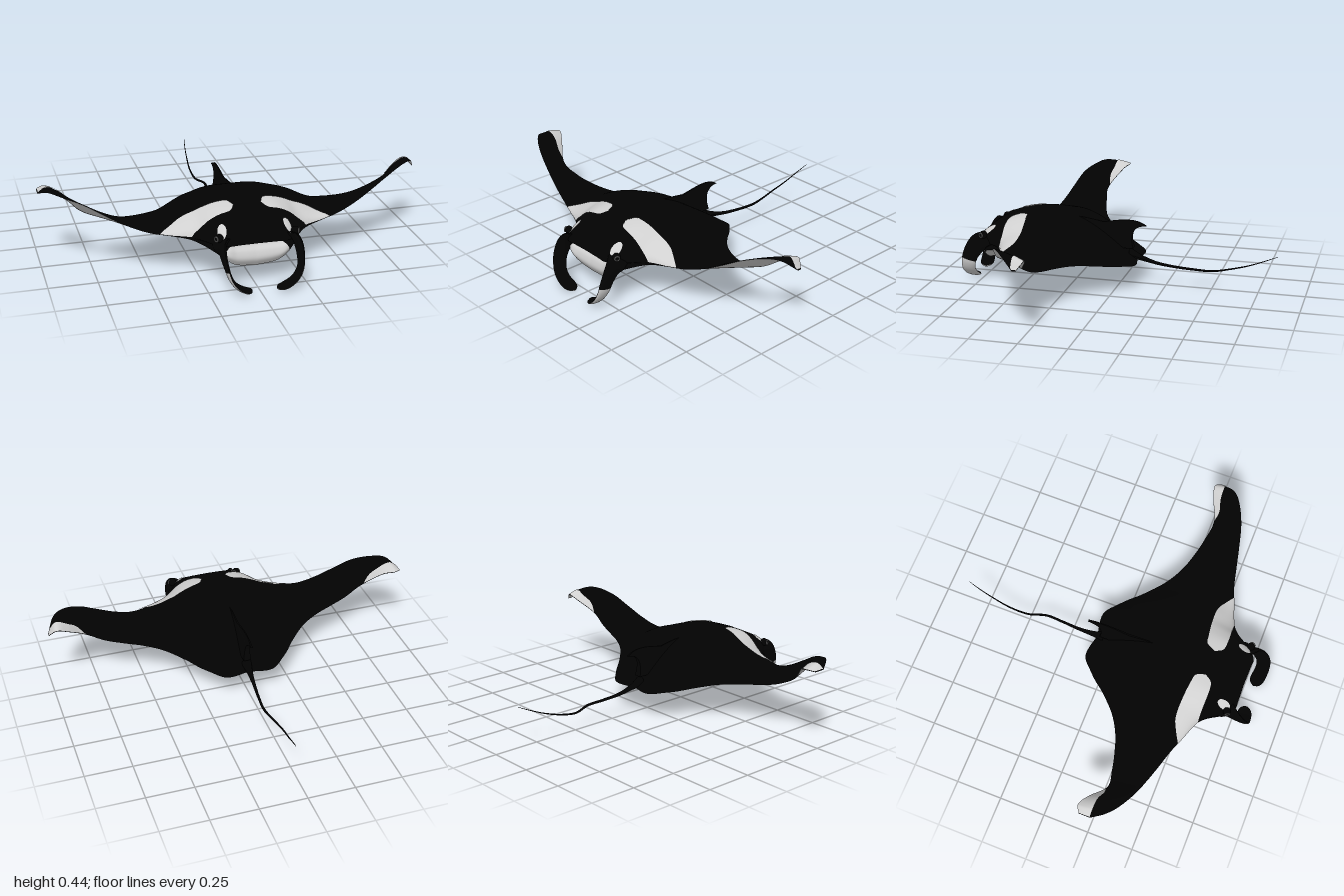
import * as THREE from 'three';

const black = new THREE.MeshStandardMaterial({ color: 0x020202, side: THREE.DoubleSide });
black.name = 'black skin';
const white = new THREE.MeshStandardMaterial({ color: 0xd0d0d0, side: THREE.DoubleSide });
white.name = 'white skin';
const grey = new THREE.MeshStandardMaterial({ color: 0x777777 });
grey.name = 'eye grey';
const { lerp, clamp } = THREE.MathUtils;

// Smooth table lookup (cubic Hermite)
function interp(xs, ys, x) {
  const n = xs.length;
  let i = 0;
  while (i < n - 2 && x > xs[i + 1]) i++;
  const slope = (k) => {
    const a = Math.max(k - 1, 0), b = Math.min(k + 1, n - 1);
    return (ys[b] - ys[a]) / (xs[b] - xs[a]);
  };
  const h = xs[i + 1] - xs[i];
  const t = clamp((x - xs[i]) / h, 0, 1), t2 = t * t, t3 = t2 * t;
  return (2 * t3 - 3 * t2 + 1) * ys[i] + (t3 - 2 * t2 + t) * h * slope(i)
    + (3 * t2 - 2 * t3) * ys[i + 1] + (t3 - t2) * h * slope(i + 1);
}

// Spanwise tables, from the middle to the wing tip
const span = [0, 0.1, 0.15, 0.2, 0.25, 0.3, 0.4, 0.5, 0.6, 0.7, 0.8, 0.9, 0.96, 1];
const zFront = [0.75, 0.752, 0.75, 0.705, 0.63, 0.588, 0.55, 0.515, 0.49, 0.465, 0.435, 0.385, 0.335, 0.27];
const zBack = [-0.09, -0.11, -0.1, -0.055, -0.005, 0.055, 0.15, 0.21, 0.245, 0.27, 0.285, 0.24, 0.225, 0.25];
const yFront = [0.24, 0.24, 0.238, 0.232, 0.23, 0.233, 0.238, 0.252, 0.29, 0.343, 0.398, 0.43, 0.42, 0.365];
const yBack = [0.14, 0.14, 0.145, 0.155, 0.165, 0.18, 0.205, 0.22, 0.235, 0.26, 0.31, 0.375, 0.4, 0.365];
const crown = [0.19, 0.183, 0.173, 0.158, 0.138, 0.113, 0.055, 0.025, 0.02, 0.02, 0.015, 0.012, 0.008, 0];
const belly = [-0.05, -0.04, -0.03, 0, 0.01, 0.01, 0.01, 0.012, 0.012, 0.01, 0.01, 0.008, 0.005, 0];
const frontGap = [0.135, 0.12, 0.085, 0.045, 0.025, 0.012, 0, 0, 0, 0, 0, 0, 0, 0];
// The wing tip on the -x side curls a little differently
const withTip = (table, tip) => [...table.slice(0, -tip.length), ...tip];
const zBackR = withTip(zBack, [0.22, 0.19, 0.21]);
const yFrontR = withTip(yFront, [0.43, 0.44, 0.415]);
const yBackR = withTip(yBack, [0.4, 0.42, 0.415]);

function section(x) {
  const a = Math.abs(x), r = x < 0;
  return {
    zf: interp(span, zFront, a), zb: interp(span, r ? zBackR : zBack, a),
    yf: interp(span, r ? yFrontR : yFront, a), yb: interp(span, r ? yBackR : yBack, a),
    top: interp(span, crown, a), low: interp(span, belly, a), gap: interp(span, frontGap, a),
  };
}
const arch = (u) => Math.pow(Math.max(Math.sin(Math.PI * u), 0), u < 0.5 ? 0.6 : 1.05);
function topY(x, z) {
  const c = section(x), u = clamp((c.zf - z) / (c.zf - c.zb), 0, 1);
  return lerp(c.yf, c.yb, u) + c.top * arch(u);
}

// Smooth sheet from a rule f(s, t) -> [x, y, z]
function sheet(name, material, ns, nt, f, flip = false) {
  const pos = [], index = [];
  for (let j = 0; j <= nt; j++) for (let i = 0; i <= ns; i++) pos.push(...f(i / ns, j / nt));
  for (let j = 0; j < nt; j++) for (let i = 0; i < ns; i++) {
    const a = j * (ns + 1) + i, b = a + 1, c = a + ns + 1, d = c + 1;
    index.push(...(flip ? [a, c, b, b, c, d] : [a, b, c, b, d, c]));
  }
  const g = new THREE.BufferGeometry();
  g.setAttribute('position', new THREE.Float32BufferAttribute(pos, 3));
  g.setIndex(index);
  g.computeVertexNormals();
  const mesh = new THREE.Mesh(g, material);
  mesh.name = name;
  return mesh;
}

const spanX = (s) => Math.sin((s - 0.5) * Math.PI);
const ease = (t) => (1 - Math.cos(Math.PI * t)) / 2;

function body() {
  const g = new THREE.Group();
  g.name = 'body';
  g.add(sheet('back', black, 220, 56, (s, t) => {
    const x = spanX(s), c = section(x), z = lerp(c.zf, c.zb, ease(t));
    return [x, topY(x, z), z];
  }));
  g.add(sheet('underside', white, 220, 40, (s, t) => {
    const x = spanX(s), c = section(x), u = ease(t);
    return [x, lerp(c.yf - c.gap, c.yb, u) - c.low * Math.sin(Math.PI * u), lerp(c.zf - 0.3 * c.gap, c.zb, u)];
  }, true));
  // Blunt front: white lower jaw leaning back under a black upper lip
  const setBack = (t) => interp([0, 0.3, 0.6, 0.9, 1], [0.3, 0.14, 0.2, 0.36, 0], t);
  const front = (x, t) => {
    const c = section(x);
    return [x, c.yf - c.gap * (1 - t), c.zf - setBack(t) * c.gap];
  };
  const half = 0.168;
  const lipLine = (x) => 0.95 * Math.sqrt(Math.max(0, 1 - Math.abs(x / half) ** 6));
  const mouthX = (s) => half * spanX(s);
  g.add(sheet('mouth', white, 60, 16, (s, t) => front(mouthX(s), t * lipLine(mouthX(s)))));
  g.add(sheet('upperLip', black, 60, 8, (s, t) => front(mouthX(s), lerp(lipLine(mouthX(s)), 1, t))));
  for (const k of [-1, 1])
    g.add(sheet('cheek', black, 30, 8, (s, t) => front(k * lerp(half, 0.4, s), t), k < 0));
  return g;
}

// Thin marking laid on the back, between two z rules
function marking(name, side, x0, x1, zA, zB) {
  return sheet(name, white, 48, 16, (s, t) => {
    const x = side * lerp(x0, x1, s), c = section(x);
    const z = clamp(lerp(zA(Math.abs(x), c), zB(Math.abs(x), c), t), c.zb, c.zf);
    return [x, topY(x, z) + 0.004, z + (z > 0.45 ? 0.002 : 0)];
  }, side < 0);
}

const patchX = [0.07, 0.09, 0.13, 0.25, 0.33, 0.38, 0.44];
const patchBack = [0.545, 0.5, 0.488, 0.475, 0.478, 0.5, 0.535];
const patchFront = [0.545, 0.58, 0.592, 0.59, 0.59, 0.57, 0.54];
const spotHalf = (x) => 0.036 * Math.sqrt(Math.max(0, 1 - ((x - 0.167) / 0.021) ** 2));

function markings(side) {
  const g = new THREE.Group();
  g.name = 'markings';
  g.add(marking('shoulderPatch', side, 0.07, 0.44,
    (x) => interp(patchX, patchFront, x), (x) => interp(patchX, patchBack, x)));
  g.add(marking('eyeSpot', side, 0.146, 0.188, (x) => 0.688 + spotHalf(x), (x) => 0.688 - spotHalf(x)));
  g.add(marking('wingTipPatch', side, 0.8, 0.998,
    (x) => (side > 0 ? 0.279 : 0.268) + 0.018 * Math.exp(-(((x - 0.84) / 0.04) ** 2)), (x, c) => c.zb));
  return g;
}

// Curled fin beside the mouth, white on the lower outer face
function headFin(side) {
  const g = new THREE.Group();
  g.name = 'headFin';
  const path = new THREE.CatmullRomCurve3([
    [0.155, 0.25, 0.66], [0.178, 0.23, 0.735], [0.174, 0.165, 0.785], [0.152, 0.09, 0.808],
    [0.122, 0.05, 0.81], [0.08, 0.022, 0.803], [0.042, 0.012, 0.797],
  ].map((p) => new THREE.Vector3(...p)));
  const shift = side > 0 ? 0.04 : 0; // the +x fin curls in less far
  const stops = [0, 0.17, 0.33, 0.5, 0.67, 0.83, 0.95, 1];
  const widths = [0.05, 0.052, 0.044, 0.038, 0.038, 0.038, 0.024, 0];
  const part = (name, mat, t0, t1, a0, a1) => sheet(name, mat, 12, 32, (s, t) => {
    const v = lerp(t0, t1, t), a = lerp(a0, a1, s);
    const T = path.getTangent(v), W = new THREE.Vector3(0, 0, 1).addScaledVector(T, -T.z).normalize();
    const N = T.clone().cross(W);
    const w = interp(stops, widths, v), thick = Math.min(0.011 + 0.025 * Math.max(0, 0.4 - v), w);
    const p = path.getPoint(v).addScaledVector(W, w * Math.cos(a)).addScaledVector(N, thick * Math.sin(a));
    return [side * (p.x + shift * Math.min(1, 0.3 + 1.6 * v)), p.y, p.z];
  }, side < 0);
  g.add(part('innerFace', black, 0, 1, 0, Math.PI));
  g.add(part('outerFaceUpper', black, 0, 0.41, Math.PI, 2 * Math.PI));
  g.add(part('outerFaceLower', white, 0.41, 1, Math.PI, 2 * Math.PI));
  return g;
}

function eye(side) {
  const g = new THREE.Group();
  g.name = 'eye';
  const ball = new THREE.Mesh(new THREE.SphereGeometry(0.021, 20, 14), black);
  ball.name = 'eyeball';
  const iris = new THREE.Mesh(new THREE.TorusGeometry(0.012, 0.0035, 8, 20), grey);
  iris.name = 'iris';
  iris.rotation.y = side * 1.1;
  iris.position.set(side * 0.0165, 0, 0.0085);
  g.add(ball, iris);
  g.position.set(side > 0 ? 0.198 : -0.188, 0.272, 0.715);
  return g;
}

// Hooked fin on a low ridge at the root of the tail, thinner towards its top
function dorsalFin() {
  const s = new THREE.Shape();
  s.moveTo(0.28, 0.36);
  s.quadraticCurveTo(0.18, 0.352, 0.1, 0.335);
  s.bezierCurveTo(0.06, 0.34, 0.01, 0.355, -0.05, 0.354);
  s.quadraticCurveTo(-0.1, 0.354, -0.14, 0.326);
  s.bezierCurveTo(-0.1, 0.325, -0.04, 0.31, -0.07, 0.2);
  s.lineTo(0, 0.2);
  const geo = new THREE.ExtrudeGeometry(s, { depth: 1, bevelEnabled: false, curveSegments: 16 });
  const p = geo.attributes.position;
  for (let i = 0; i < p.count; i++) {
    const w = 0.006 + 0.036 * clamp((0.35 - p.getY(i)) / 0.15, 0, 1);
    p.setXYZ(i, (0.5 - p.getZ(i)) * w, p.getY(i), p.getX(i));
  }
  geo.computeVertexNormals();
  const mesh = new THREE.Mesh(geo, black);
  mesh.name = 'dorsalFin';
  return mesh;
}

function tail() {
  const path = new THREE.CatmullRomCurve3([
    [0, 0.17, -0.05], [0, 0.148, -0.11], [0.005, 0.125, -0.2], [0.014, 0.115, -0.3], [0.018, 0.11, -0.4],
    [-0.008, 0.1, -0.5], [-0.015, 0.118, -0.6], [-0.008, 0.148, -0.7], [0.003, 0.19, -0.8], [0.012, 0.214, -0.85],
  ].map((p) => new THREE.Vector3(...p)));
  return sheet('tail', black, 12, 80, (s, t) => {
    const p = path.getPoint(t), a = s * 2 * Math.PI;
    const r = interp([0, 0.11, 0.22, 0.5, 1], [0.028, 0.016, 0.009, 0.006, 0.001], t);
    return [p.x + r * Math.cos(a), p.y + r * Math.sin(a), p.z];
  }, true);
}

export function createModel() {
  const model = new THREE.Group();
  model.name = 'mantaRay';
  model.add(body(), dorsalFin(), tail());
  for (const side of [-1, 1]) model.add(markings(side), headFin(side), eye(side));
  return model;
}
